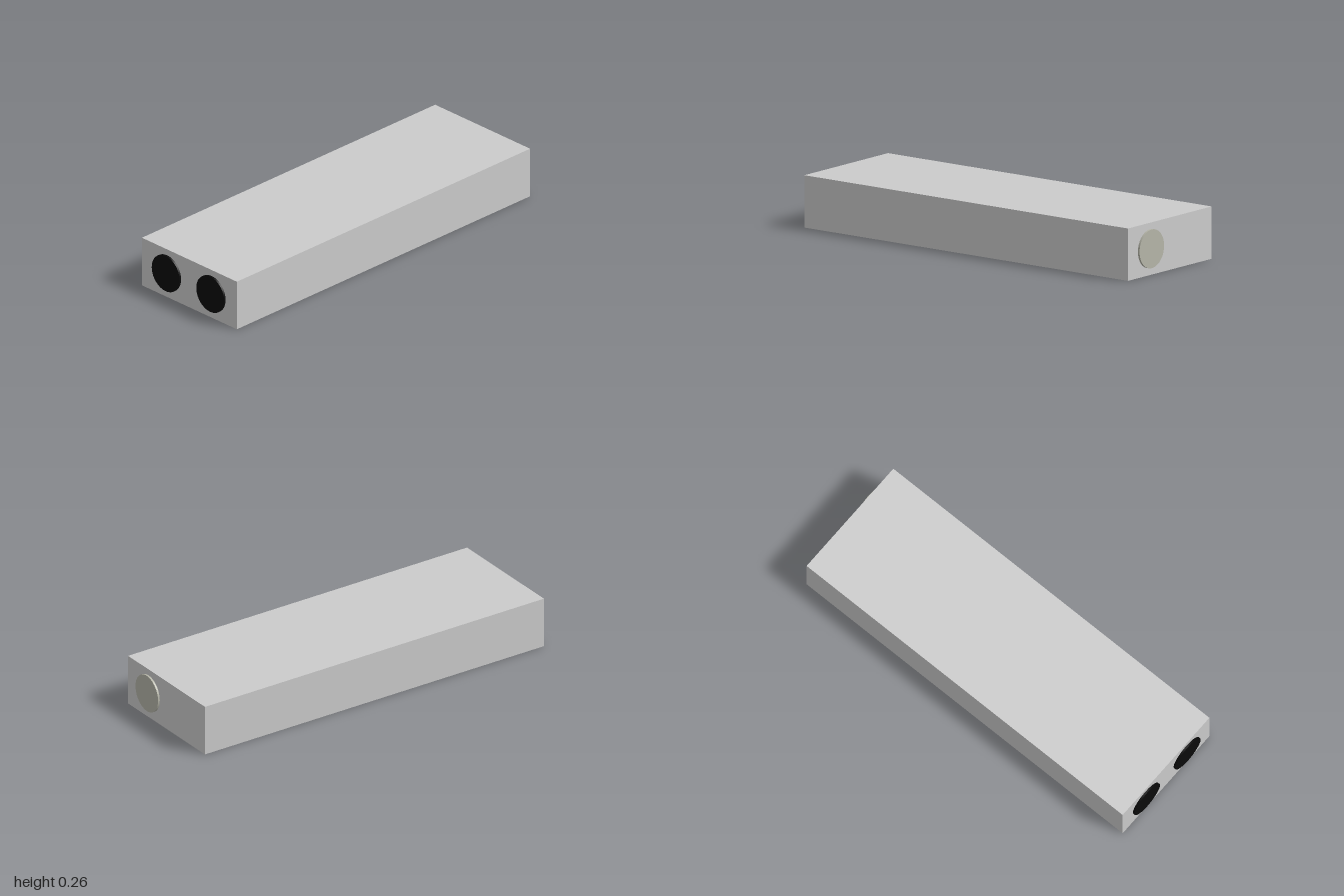
import * as THREE from 'three';

const W = 0.648, H = 0.257, L = 1.98, T = 0.02; // outer size and wall thickness

export function createModel() {
  const model = new THREE.Group();
  const grey = new THREE.MeshStandardMaterial({ color: 0xcccccc });
  const black = new THREE.MeshStandardMaterial({ color: 0x0a0a0a });
  const warmGrey = new THREE.MeshStandardMaterial({ color: 0xb5b5a8 });

  const add = (name, geometry, material, x, y, z) => {
    const mesh = new THREE.Mesh(geometry, material);
    mesh.name = name;
    mesh.position.set(x, y, z);
    model.add(mesh);
  };

  // Four walls as one hollow frame, open underneath
  const rect = (path, w, l) => path.moveTo(-w / 2, -l / 2).lineTo(w / 2, -l / 2)
    .lineTo(w / 2, l / 2).lineTo(-w / 2, l / 2).closePath();
  const outline = rect(new THREE.Shape(), W, L);
  outline.holes.push(rect(new THREE.Path(), W - 2 * T, L - 2 * T));
  const walls = new THREE.ExtrudeGeometry(outline, { depth: H - T, bevelEnabled: false });
  walls.rotateX(-Math.PI / 2);
  add('walls', walls, grey, 0, 0, 0);

  // Lid closing the top
  add('topPanel', new THREE.BoxGeometry(W, T, L), grey, 0, H - T / 2, 0);

  // Discs set through the end walls, standing slightly proud on both sides
  const disc = new THREE.CylinderGeometry(0.095, 0.095, 0.04, 64).rotateX(Math.PI / 2);
  add('frontDiscLeft', disc, black, 0.152, 0.13, 0.98);
  add('frontDiscRight', disc, black, -0.152, 0.13, 0.98);
  add('backDisc', disc, warmGrey, 0.152, 0.13, -0.98);

  return model;
}
